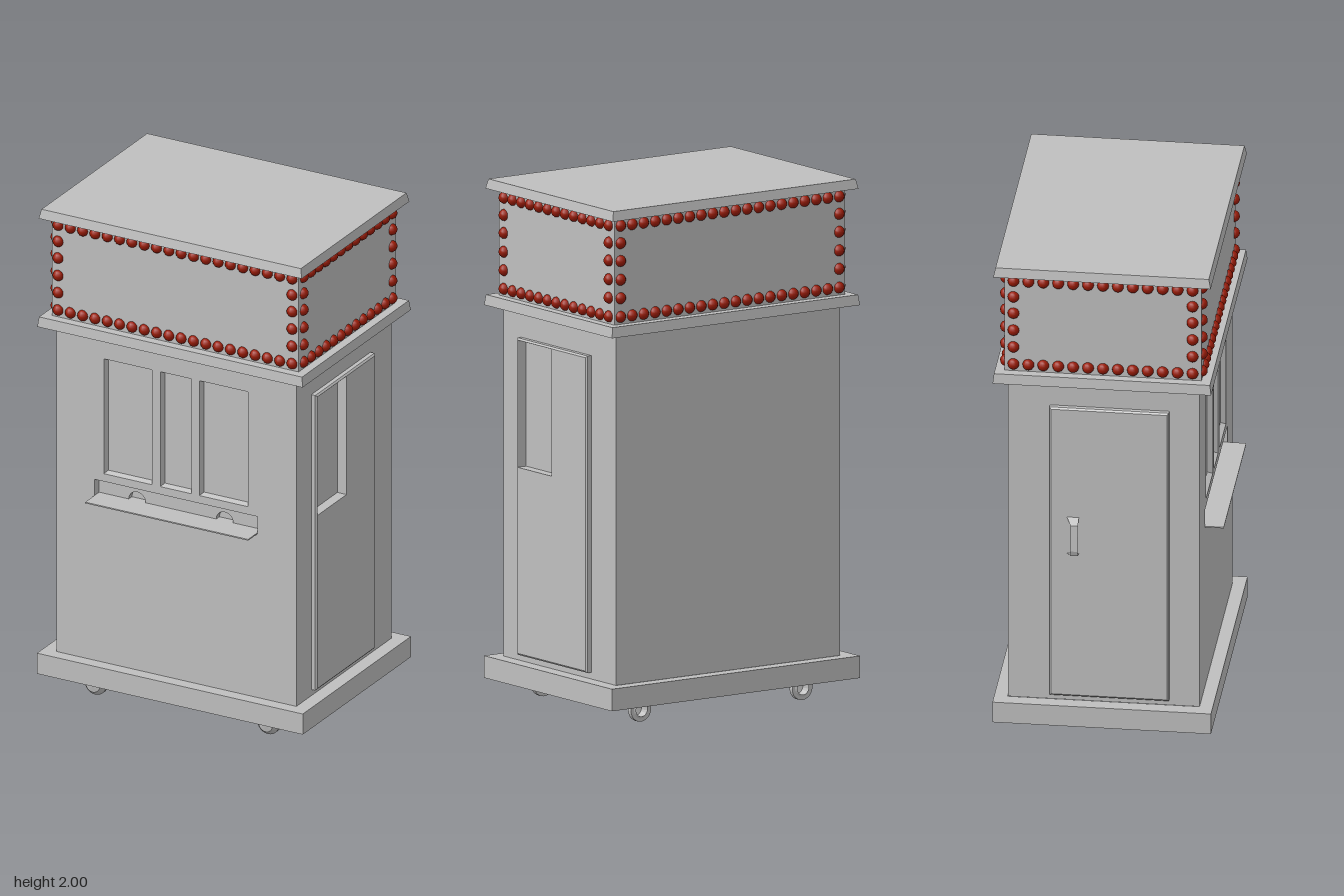
import * as THREE from 'three';
import { mergeGeometries } from 'three/addons/utils/BufferGeometryUtils.js';

export function createModel() {
  const grey = new THREE.MeshStandardMaterial({ color: 0xbfbfbf, side: THREE.DoubleSide });
  grey.name = 'painted grey';
  const red = new THREE.MeshStandardMaterial({ color: 0x9c1c08 });
  red.name = 'bulb red';

  const model = new THREE.Group();
  model.name = 'ticketBooth';
  const CX = 0.005, CZ = -0.011;

  const add = (name, geometry, parent = model, material = grey) => {
    const mesh = new THREE.Mesh(geometry, material);
    mesh.name = name;
    parent.add(mesh);
    return mesh;
  };

  // Rectangles are [x0, y0, x1, y1]
  const corners = ([a, b, c, d]) => [[a, b], [c, b], [c, d], [a, d]];
  const inset = ([a, b, c, d], t) => [a + t, b + t, c - t, d - t];
  const toPath = (pts, Type = THREE.Path) => new Type(pts.map((p) => new THREE.Vector2(...p)));

  // Flat sheet with holes, facing +z
  function sheet(rect, holes, z) {
    const shape = toPath(corners(rect), THREE.Shape);
    holes.forEach((h) => shape.holes.push(h.isPath || h.getPoints ? h : toPath(corners(h))));
    return new THREE.ShapeGeometry(shape, 16).translate(0, 0, z).toNonIndexed();
  }

  // Strip between two loops of 2D points at depths z0 and z1
  function strip(loopA, z0, loopB, z1) {
    const pos = [], uv = [], n = loopA.length;
    for (let i = 0; i < n; i++) {
      const j = (i + 1) % n;
      const a = [...loopA[i], z0], b = [...loopA[j], z0];
      const c = [...loopB[j], z1], d = [...loopB[i], z1];
      pos.push(...a, ...b, ...c, ...a, ...c, ...d);
      uv.push(0, 0, 1, 0, 1, 1, 0, 0, 1, 1, 0, 1);
    }
    const g = new THREE.BufferGeometry();
    g.setAttribute('position', new THREE.Float32BufferAttribute(pos, 3));
    g.setAttribute('uv', new THREE.Float32BufferAttribute(uv, 2));
    g.computeVertexNormals();
    return g;
  }

  // Block whose top is narrower than its bottom
  function block(name, w, y0, y1, d, taper = 0) {
    const g = new THREE.BoxGeometry(w, y1 - y0, d).toNonIndexed();
    const p = g.attributes.position;
    for (let i = 0; i < p.count; i++) {
      if (p.getY(i) > 0) {
        p.setX(i, p.getX(i) - Math.sign(p.getX(i)) * taper);
        p.setZ(i, p.getZ(i) - Math.sign(p.getZ(i)) * taper);
      }
    }
    g.computeVertexNormals();
    add(name, g).position.set(CX, (y0 + y1) / 2, CZ);
  }

  // Roof, sign box and ledge
  block('roof', 1.142, 1.963, 2, 0.828, 0.008);
  block('signBox', 1.072, 1.555, 1.963, 0.75);
  block('ledge', 1.152, 1.515, 1.555, 0.832, 0.005);

  // Base frame, open underneath
  const frame = (w, d) => [CX - w / 2, -CZ - d / 2, CX + w / 2, -CZ + d / 2];
  const outer = frame(1.154, 0.832), inner = inset(outer, 0.03), opening = frame(1.042, 0.73);
  const baseGeometry = mergeGeometries([
    strip(corners(outer), 0.08, corners(outer), 0.165),
    strip(corners(inner), 0.08, corners(inner), 0.16),
    sheet(outer, [inner], 0.08),
    sheet(outer, [opening], 0.165),
  ]);
  add('baseFrame', baseGeometry.rotateX(-Math.PI / 2));

  // Body walls: front with openings, plain back, two sides cut for doors
  const Y0 = 0.165, Y1 = 1.515, L = -0.515, R = 0.526, F = 0.355, B = -0.375;
  const windows = [-0.31, -0.065, 0.105].map((x, i) => [x, 0.945, x + [0.21, 0.135, 0.21][i], 1.42]);
  const slot = [-0.35, 0.845, 0.357, 0.913];
  add('frontWall', sheet([L, Y0, R, Y1], [...windows, slot], F));
  add('backWall', sheet([-R, Y0, -L, Y1], [], -B)).rotation.y = Math.PI;

  // Recessed service windows
  for (const w of windows) {
    const pane = inset(w, 0.009);
    add('serviceWindow', mergeGeometries([
      strip(corners(w), F, corners(pane), F - 0.02), sheet(pane, [], F - 0.02),
    ]));
  }

  // Counter slot with two arched hand holes, and its shelf
  const arches = [-0.185, 0.195].map((x) => {
    const pts = [];
    for (let i = 0; i <= 12; i++) {
      const a = (i / 12) * Math.PI;
      pts.push([x + 0.037 * Math.cos(a), 0.846 + 0.037 * Math.sin(a)]);
    }
    return pts;
  });
  add('counterSlot', mergeGeometries([
    strip(corners(slot), F, corners(slot), F - 0.035),
    sheet(slot, arches.map((a) => toPath(a)), F - 0.035),
    ...arches.map((a) => strip(a, F - 0.035, a, F - 0.06)),
    sheet(slot, [], F - 0.06),
  ]));
  add('counterShelf', new THREE.BoxGeometry(0.707, 0.005, 0.108)).position.set(0.0035, 0.844, 0.373);

  // Side walls with raised doors; local x runs along the wall
  function side(name, wallRect, doorRect, out, turn, doorWindow) {
    const g = new THREE.Group();
    g.name = name;
    g.rotation.y = turn;
    model.add(g);
    add('sideWall', sheet(wallRect, [doorRect], out), g);
    const face = inset(doorRect, 0.007), z = out + 0.023;
    const parts = [
      strip(corners(doorRect), out, corners(doorRect), z - 0.006),
      strip(corners(doorRect), z - 0.006, corners(face), z),
      sheet(face, doorWindow ? [doorWindow] : [], z),
    ];
    add('door', mergeGeometries(parts), g);
    if (doorWindow) {
      add('doorWindow', mergeGeometries([
        strip(corners(doorWindow), z, corners(doorWindow), z - 0.04),
        sheet(doorWindow, [], z - 0.04),
      ]), g);
    }
  }
  side('windowSide', [-F, Y0, -B, Y1], [-0.24, 0.19, 0.215, 1.41], R, Math.PI / 2,
    [-0.232, 0.913, -0.01, 1.402]);
  side('handleSide', [B, Y0, F, Y1], [-0.215, 0.19, 0.24, 1.41], -L, -Math.PI / 2, null);

  // Door handle: a bent strap, narrower where it stands out
  const strap = [[-0.538, 0.95], [-0.57, 0.93], [-0.579, 0.825], [-0.571, 0.803], [-0.538, 0.797]];
  add('doorHandle', strip(strap, -0.102, strap.map(([x, y]) => [x, y]),  -0.148));
  const handlePos = model.children[model.children.length - 1].geometry.attributes.position;
  for (let i = 0; i < handlePos.count; i++) {
    if (handlePos.getX(i) < -0.55 && handlePos.getZ(i) < -0.14) handlePos.setZ(i, -0.13);
  }
  handlePos.needsUpdate = true;
  model.children[model.children.length - 1].geometry.computeVertexNormals();

  // Casters: dished wheels
  const wheel = new THREE.LatheGeometry([
    [0.026, 0.0], [0.034, 0.004], [0.047, 0.004], [0.047, 0.022], [0.03, 0.042], [0.0, 0.048],
  ].map((p) => new THREE.Vector2(...p)), 24).toNonIndexed();
  wheel.computeVertexNormals();
  wheel.rotateX(Math.PI / 2);
  for (const x of [-0.37, 0.38]) {
    for (const z of [0.292, -0.338]) add('casterWheel', wheel).position.set(x, 0.05, z);
  }

  // Bulbs around each face of the sign box
  const bulb = new THREE.SphereGeometry(0.0225, 12, 8);
  const bulbs = new THREE.Group();
  bulbs.name = 'signBulbs';
  model.add(bulbs);
  function ringOfBulbs(half, count, place) {
    const spots = [];
    for (let i = 0; i < count; i++) {
      const u = -half + (2 * half * i) / (count - 1);
      spots.push([u, 1.935], [u, 1.584]);
    }
    for (const y of [1.868, 1.799, 1.727, 1.656]) spots.push([-half, y], [half, y]);
    for (const [u, y] of spots) add('bulb', bulb, bulbs, red).position.set(...place(u, y));
  }
  for (const s of [1, -1]) {
    ringOfBulbs(0.508, 20, (u, y) => [CX + u, y, CZ + s * 0.373]);
    ringOfBulbs(0.341, 13, (u, y) => [CX + s * 0.535, y, CZ + u]);
  }

  return model;
}
